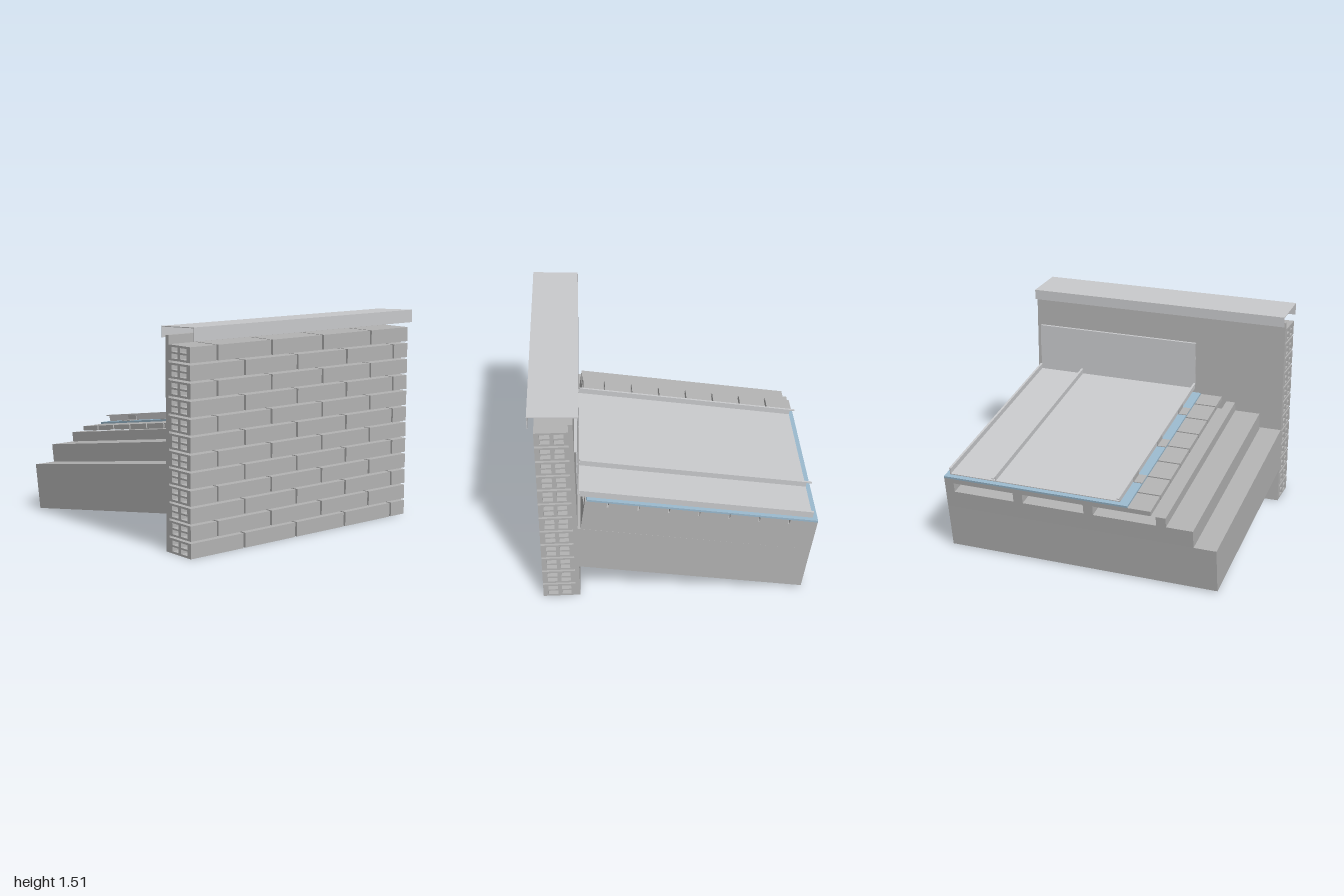
import * as THREE from 'three';

const mat = (name, color) => {
  const m = new THREE.MeshStandardMaterial({ color });
  m.name = name;
  return m;
};

export function createModel() {
  const model = new THREE.Group();
  model.name = 'roofEdgeSection';
  const grey = mat('grey', 0xb3b3b3);
  const metal = mat('metal', 0xc9cacc);
  const blue = mat('blue', 0x9ab9cd);

  const add = (parent, name, geo, material) => {
    const mesh = new THREE.Mesh(geo, material);
    mesh.name = name;
    parent.add(mesh);
    return mesh;
  };
  // Box given by its low and high limits
  const box = (parent, name, material, [x0, x1], [y0, y1], [z0, z1]) => {
    const geo = new THREE.BoxGeometry(x1 - x0, y1 - y0, z1 - z0);
    geo.translate((x0 + x1) / 2, (y0 + y1) / 2, (z0 + z1) / 2);
    return add(parent, name, geo, material);
  };
  const outline = (pts) => new THREE.Shape(pts.map(([x, y]) => new THREE.Vector2(x, y)));
  // Profile in x, y pulled from z0 to z1
  const prism = (shape, z0, z1) => {
    const geo = new THREE.ExtrudeGeometry(shape, { depth: z1 - z0, bevelEnabled: false });
    return geo.translate(0, 0, z0);
  };

  // Sloping structural slab, cut upright at the wall
  const slope = 0.157;
  const slab = outline([[-0.88, 0.01], [0.68, 0.257], [0.68, 0.589], [-0.931, 0.335]]);
  add(model, 'slab', prism(slab, -1, 1), grey);

  // Roof layers, in a frame tilted with the slab
  const roof = new THREE.Group();
  roof.name = 'roofLayers';
  roof.position.set(-0.88, 0.01, 0);
  roof.rotation.z = slope;
  model.add(roof);
  box(roof, 'insulation', grey, [0, 1.61], [0.329, 0.46], [-1, 0.84]);
  for (const z of [-1, -0.473, 0.053, 0.58]) {
    box(roof, 'batten', grey, [0, 1.61], [0.46, 0.53], [z, z + 0.07]);
  }
  for (let i = 0; i < 8; i++) {
    const start = Math.max(0, i * 0.209 - 0.005);
    box(roof, 'board', grey, [start, Math.min(1.61, i * 0.209 + 0.192)], [0.53, 0.565], [-1, 0.545]);
  }
  box(roof, 'membrane', blue, [0, 1.6], [0.565, 0.579], [-1, 0.38]);

  // Metal pan with standing seams and fixing clips
  box(roof, 'metalPan', metal, [0.035, 1.65], [0.579, 0.585], [-0.968, 0.315]);
  for (const [z, start] of [[-0.965, 0.035], [-0.615, 0], [0.315, 0]]) {
    box(roof, 'seamWeb', metal, [0.035, 1.65], [0.585, 0.622], [z - 0.003, z + 0.003]);
    box(roof, 'seamCap', metal, [start, 1.65], [0.62, 0.628], [z - 0.008, z + 0.008]);
  }
  for (const u of [0.29, 0.78, 1.25]) {
    box(roof, 'clipFoot', grey, [u, u + 0.1], [0.579, 0.584], [0.315, 0.382]);
    box(roof, 'clipWeb', grey, [u, u + 0.1], [0.58, 0.618], [0.318, 0.322]);
  }

  // Wall upstand and its cover flashing
  box(model, 'upstand', metal, [0.666, 0.671], [0.84, 1.1], [-0.968, 0.315]);
  box(model, 'coverFlashing', metal, [0.658, 0.662], [0.95, 1.205], [-0.968, 0.315]);
  box(model, 'flashingReturn', metal, [0.658, 0.682], [1.2, 1.205], [-0.968, 0.315]);

  // Wall lining behind the brickwork
  box(model, 'wallPanel', grey, [0.68, 0.711], [0, 1.44], [-1, 1]);

  // Hollow bricks in running bond with open joints
  const pitch = 0.1163;
  const brickHeight = 0.102;
  const brick = outline([[0.711, 0], [0.938, 0], [0.938, brickHeight], [0.711, brickHeight]]);
  for (const [x0, x1] of [[0.742, 0.807], [0.834, 0.902]]) {
    for (const [y0, y1] of [[0.014, 0.045], [0.057, 0.088]]) {
      brick.holes.push(new THREE.Path([[x0, y0], [x0, y1], [x1, y1], [x1, y0]]
        .map(([x, y]) => new THREE.Vector2(x, y))));
    }
  }
  for (let row = 0; row < 12; row++) {
    const first = row % 2 ? 0.775 : 0.543;
    const joints = [0, 1, 2, 3].map((k) => first - k * 0.466);
    for (let k = 0; k <= 4; k++) {
      const z1 = k === 0 ? 1 : joints[k - 1] - 0.008;
      const z0 = k === 4 ? -1 : joints[k] + 0.008;
      add(model, 'brick', prism(brick, z0, z1), grey).position.y = row * pitch;
    }
  }

  // Folded sheet coping over the wall head
  const coping = outline([
    [0.64, 1.42], [0.645, 1.42], [0.645, 1.49], [0.972, 1.504], [0.972, 1.42],
    [0.977, 1.42], [0.977, 1.51], [0.64, 1.495],
  ]);
  add(model, 'coping', prism(coping, -1, 1), metal);

  return model;
}
